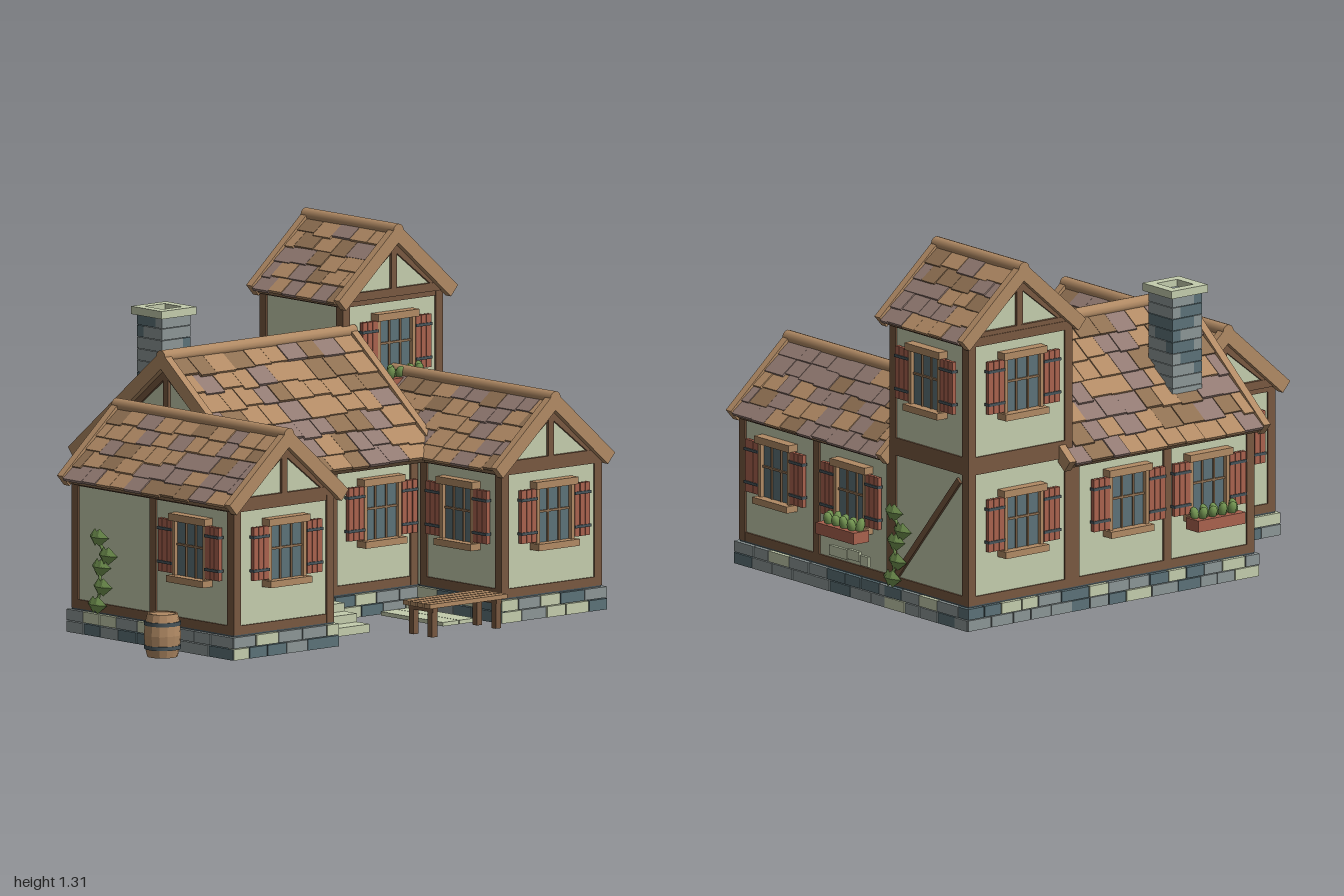
import * as THREE from 'three';
import { mergeGeometries } from 'three/addons/utils/BufferGeometryUtils.js';

const paint = (name, color) => Object.assign(new THREE.MeshStandardMaterial({ color }), { name });
const M = {
  plaster: paint('plaster', 0xc4cdad), timber: paint('dark timber', 0x785840),
  trim: paint('light timber', 0xb18a64), mauve: paint('mauve tile', 0x927a72),
  brown: paint('brown tile', 0x8f7052), red: paint('shutter red', 0xa9624e),
  slate: paint('slate', 0x5c7278), stone: paint('grey stone', 0x8c9696),
  leaf: paint('leaf green', 0x749652), dark: paint('dark metal', 0x47545a),
};
const HALF = Math.PI / 2;
let seed = 7;
const rnd = () => (seed = (seed * 16807) % 2147483647) / 2147483647;
const pick = (list) => list[Math.floor(rnd() * list.length)];

function group(parent, name, x = 0, y = 0, z = 0, ry = 0) {
  const g = new THREE.Group();
  g.name = name;
  g.position.set(x, y, z);
  g.rotation.y = ry;
  if (parent) parent.add(g);
  return g;
}
function add(parent, name, geo, mat, x = 0, y = 0, z = 0) {
  const m = new THREE.Mesh(geo, mat);
  m.name = name;
  m.position.set(x, y, z);
  parent.add(m);
  return m;
}
const box = (parent, name, mat, w, h, d, x, y, z) =>
  add(parent, name, new THREE.BoxGeometry(w, h, d), mat, x, y, z);

// Joins the many small pieces of a group into one mesh per colour
function bake(g) {
  const lists = new Map();
  for (const m of [...g.children]) {
    m.updateMatrix();
    if (!lists.has(m.material)) lists.set(m.material, []);
    lists.get(m.material).push(m.geometry.applyMatrix4(m.matrix));
    g.remove(m);
  }
  for (const [mat, geos] of lists) add(g, `${g.name} ${mat.name}`, mergeGeometries(geos), mat);
}

// Beam between two points on a wall plane
function beam(parent, name, mat, x0, y0, x1, y1, z, t) {
  const b = box(parent, name, mat, Math.hypot(x1 - x0, y1 - y0), t, 0.02, (x0 + x1) / 2, (y0 + y1) / 2, z);
  b.rotation.z = Math.atan2(y1 - y0, x1 - x0);
}

function addFlowerBox(parent, x, y) {
  const g = group(parent, 'flowerBox', x, y, 0.055);
  box(g, 'planter', M.red, 0.215, 0.042, 0.07, 0, 0, 0);
  const plants = group(g, 'plants', 0, 0.02, 0);
  for (let i = 0; i < 9; i++) {
    const p = add(plants, 'plant', new THREE.SphereGeometry(0.017, 7, 5), M.leaf, -0.088 + i * 0.022, 0.016, (i % 2 - 0.5) * 0.022);
    p.scale.y = 1.5 + (i % 3) * 0.15;
    p.rotation.x = (i % 2 - 0.5) * 0.6;
  }
  bake(plants);
}

function addWindow(parent, x, y, flowers) {
  const g = group(parent, 'window', x, y, 0);
  box(g, 'pane', M.slate, 0.16, 0.2, 0.008, 0, 0, 0.004);
  for (const s of [-1, 1]) {
    box(g, 'jamb', M.trim, 0.014, 0.2, 0.03, s * 0.081, 0, 0.008);
    box(g, 'mullion', M.brown, 0.007, 0.2, 0.012, s * 0.026, 0, 0.008);
    const sh = group(g, 'shutter', s * 0.126, 0.005, 0.016);
    for (const k of [-1, 0, 1]) box(sh, 'board', M.red, 0.022, 0.19, 0.016, k * 0.0245, 0, 0);
    for (const k of [-1, 1]) box(sh, 'strap', M.dark, 0.076, 0.01, 0.024, 0, k * 0.06, 0);
    bake(sh);
  }
  box(g, 'crossBar', M.brown, 0.16, 0.008, 0.012, 0, 0.015, 0.008);
  box(g, 'lintel', M.trim, 0.195, 0.026, 0.04, 0, 0.112, 0.014);
  box(g, 'sill', M.trim, 0.195, 0.024, 0.05, 0, -0.108, 0.018);
  if (flowers) addFlowerBox(g, 0, -0.122);
}

// Timber framing of one wall face, with windows and stone footing
function addWall(parent, name, x, z, ry, w, y0, y1, posts = [], windows = []) {
  const g = group(parent, name, x, 0, z, ry);
  const frame = group(g, 'frame');
  for (const u of [-w / 2 + 0.016, ...posts, w / 2 - 0.016])
    box(frame, 'post', M.timber, 0.034, y1 - y0, 0.03, u, (y0 + y1) / 2, -0.013);
  for (const y of [y0 + 0.016, y1 - 0.016]) box(frame, 'rail', M.timber, w, 0.032, 0.028, 0, y, -0.013);
  bake(frame);
  for (const [u, v, flowers] of windows) addWindow(g, u, v, flowers);
  if (y0 > 0.1) return g;
  const footing = group(g, 'footing');
  for (let row = 0; row < 2; row++) {
    for (let u = -w / 2 - 0.014; u < w / 2 - 0.01;) {
      let len = 0.075 + rnd() * 0.045;
      if (u + len > w / 2 - 0.03) len = w / 2 + 0.014 - u;
      box(footing, 'stone', pick([M.stone, M.slate, M.stone, M.plaster, M.stone, M.slate, M.plaster]), len - 0.004, 0.039,
        0.028 + rnd() * 0.006, u + len / 2, 0.023 + row * 0.042, 0);
      u += len;
    }
  }
  bake(footing);
  return g;
}

// Tiled gable roof, ridge along its own z
function addRoof(parent, name, x, z, ry, hw, eave, ridge, L, rows, struts) {
  const g = group(parent, name, x, 0, z, ry);
  const rise = ridge - eave, S = Math.hypot(hw, rise), a = Math.atan2(rise, hw);
  const base = hw * (rise - 0.03) / rise, inner = L - 0.07;
  const tri = new THREE.Shape([[-base, eave], [base, eave], [0, ridge - 0.03]].map((p) => new THREE.Vector2(...p)));
  add(g, 'gable', new THREE.ExtrudeGeometry(tri, { depth: inner, bevelEnabled: false }), M.plaster, 0, 0, -inner / 2);
  for (const e of [-1, 1]) {
    const ez = e * inner / 2;
    box(g, 'tieBeam', M.timber, base * 2, 0.03, 0.025, 0, eave + 0.012, ez);
    box(g, 'kingPost', M.timber, 0.026, rise - 0.05, 0.024, 0, eave + (rise - 0.05) / 2, ez);
    for (const s of [-1, 1]) {
      beam(g, 'rafter', M.timber, s * base * 0.95, eave + 0.01, 0, ridge - 0.05, ez, 0.03);
      if (struts) beam(g, 'strut', M.timber, 0, eave + 0.03, s * base * 0.48, eave + rise * 0.44, ez, 0.02);
    }
  }
  for (const s of [-1, 1]) {
    const side = group(g, 'roofSlope', 0, ridge, 0);
    side.rotation.z = -s * a;
    box(side, 'deck', M.brown, S, 0.018, L - 0.02, s * S / 2, -0.014, 0);
    for (const e of [-1, 1]) box(side, 'bargeBoard', M.trim, S + 0.012, 0.05, 0.03, s * S / 2, -0.004, e * (L / 2 - 0.015));
    const tiles = group(side, 'tiles');
    const step = S / rows, end = L / 2 - 0.03;
    for (let r = 0; r < rows; r++) {
      for (let v = -end, first = true; v < end - 0.005; first = false) {
        let w = first && r % 2 ? 0.045 : 0.07 + rnd() * 0.03;
        if (v + w > end - 0.03) w = end - v;
        const len = step * (1.08 + rnd() * 0.25);
        const t = box(tiles, 'tile', pick([M.mauve, M.trim, M.mauve, M.trim, M.brown]), len, 0.012, w - 0.002,
          s * Math.min(r * step + len / 2, S + 0.012 - len / 2), 0.004 + rnd() * 0.004, v + w / 2);
        t.rotation.z = s * 0.08;
        v += w;
      }
    }
    bake(tiles);
  }
  add(g, 'ridgeTile', new THREE.CylinderGeometry(0.024, 0.024, L, 12).rotateX(HALF), M.trim, 0, ridge + 0.006, 0);
}

// Climbing plant on a wall face
function addVine(parent, x, z, ry) {
  const g = group(parent, 'vine', x, 0, z, ry);
  const leaves = [[0, 0.36], [0.048, 0.3], [0.012, 0.255], [0.02, 0.185], [-0.01, 0.118]];
  const path = new THREE.CatmullRomCurve3(leaves.map(([u, y]) => new THREE.Vector3(u * 0.6, y, 0.01)));
  add(g, 'stem', new THREE.TubeGeometry(path, 20, 0.006, 5), M.leaf);
  const foliage = group(g, 'foliage');
  for (const [u, y] of leaves) {
    for (const s of [-1, 1]) {
      const leaf = add(foliage, 'leaf', new THREE.OctahedronGeometry(1), M.leaf, u + s * 0.012, y, 0.014);
      leaf.scale.set(0.04, 0.032, 0.012);
      leaf.rotation.y = s * 0.25;
    }
  }
  bake(foliage);
}

export function createModel() {
  const house = group(null, 'cottage');

  // Plaster bodies on dark footings: x, z, width, depth, top
  for (const [name, x, z, w, d, top] of [['leftWing', -0.578, 0.215, 0.46, 0.85, 0.56], ['hall', 0.06, -0.22, 0.86, 0.83, 0.56],
    ['rightWing', 0.685, 0.215, 0.46, 0.85, 0.56], ['tower', 0.685, -0.42, 0.46, 0.43, 1.06]]) {
    box(house, name + 'Body', M.plaster, w, top - 0.09, d, x, (top + 0.09) / 2, z);
    box(house, name + 'Base', M.dark, w + 0.01, 0.088, d + 0.01, x, 0.046, z);
  }

  // Ground floor walls
  const lo = 0.09, hi = 0.56, v = 0.37;
  addWall(house, 'leftWingFront', -0.578, 0.645, 0, 0.47, lo, hi, [], [[0, v]]);
  addWall(house, 'leftWingOuter', -0.813, 0.215, -HALF, 0.86, lo, hi, [0], [[0.215, v]]);
  addWall(house, 'leftWingInner', -0.343, 0.43, HALF, 0.43, lo, hi, [], [[0, v]]);
  addWall(house, 'leftWingBack', -0.578, -0.215, Math.PI, 0.47, lo, hi, [], [[0.01, v]]);
  const front = addWall(house, 'hallFront', 0.053, 0.2, 0, 0.79, lo, hi, [0], [[0.212, v]]);
  addWall(house, 'hallBack', 0.0375, -0.64, Math.PI, 0.825, lo, hi, [0.02], [[-0.17, v], [0.195, v, true]]);
  addWall(house, 'hallLeft', -0.375, -0.43, -HALF, 0.42, lo, hi, [], [[0, v]]);
  addWall(house, 'rightWingFront', 0.685, 0.645, 0, 0.47, lo, hi, [], [[0, v]]);
  const outer = addWall(house, 'rightWingOuter', 0.92, 0.215, HALF, 0.86, lo, hi, [0], [[-0.21, v], [0.215, v, true]]);
  addWall(house, 'rightWingInner', 0.45, 0.43, -HALF, 0.43, lo, hi, [], [[0, v]]);
  for (const [u, y, w] of [[0.13, 0.15, 0.1], [0.215, 0.155, 0.065], [0.275, 0.145, 0.045]])
    box(outer, 'exposedBrick', M.plaster, w, 0.036, 0.012, u, y, 0);

  // Tower walls
  const low = addWall(house, 'towerLowerRight', 0.92, -0.42, HALF, 0.44, lo, 0.595);
  beam(low, 'brace', M.timber, -0.18, 0.13, 0.17, 0.54, -0.005, 0.024);
  addWall(house, 'towerLowerBack', 0.685, -0.64, Math.PI, 0.47, lo, 0.595, [], [[0, v]]);
  addWall(house, 'towerFront', 0.685, -0.2, 0, 0.47, 0.595, 1.06, [], [[0, 0.87, true]]);
  addWall(house, 'towerRight', 0.92, -0.42, HALF, 0.44, 0.595, 1.06, [], [[0, 0.87]]);
  addWall(house, 'towerBack', 0.685, -0.64, Math.PI, 0.47, 0.595, 1.06, [], [[0, 0.87]]);
  addWall(house, 'towerLeft', 0.45, -0.42, -HALF, 0.44, 0.595, 1.06);

  // Roofs
  addRoof(house, 'leftWingRoof', -0.575, 0.212, 0, 0.262, 0.55, 0.78, 0.92, 5, false);
  addRoof(house, 'rightWingRoof', 0.683, 0.235, 0, 0.262, 0.55, 0.78, 0.87, 5, false);
  addRoof(house, 'towerRoof', 0.683, -0.413, 0, 0.262, 1.05, 1.28, 0.495, 5, false);
  addRoof(house, 'hallRoof', 0.055, -0.21, HALF, 0.475, 0.55, 0.935, 0.91, 7, true);

  // Door and steps
  const door = group(front, 'door', -0.22, 0, 0);
  for (let i = -2; i <= 2; i++) box(door, 'plank', M.timber, 0.036, 0.41, 0.02, i * 0.038, 0.31, 0.006);
  for (const s of [-1, 1]) box(door, 'doorJamb', M.trim, 0.018, 0.42, 0.035, s * 0.104, 0.31, 0.008);
  box(door, 'doorLintel', M.trim, 0.235, 0.026, 0.045, 0, 0.53, 0.01);
  for (const y of [0.2, 0.42]) box(door, 'doorStrap', M.dark, 0.17, 0.014, 0.008, -0.01, y, 0.018);
  add(door, 'doorKnob', new THREE.SphereGeometry(0.009, 8, 6), M.dark, 0.072, 0.31, 0.022);
  for (let i = 0; i < 3; i++) {
    const depth = 0.28 - i * 0.067;
    box(house, 'step', M.plaster, 0.265, 0.03, depth, -0.158, 0.015 + i * 0.03, 0.2 + depth / 2);
  }
  for (const x of [0.295, 0.372]) box(house, 'pavingSlab', M.plaster, 0.074, 0.014, 0.33, x, 0.007, 0.385);

  // Chimney
  const chimney = group(house, 'chimney', -0.155, 0, -0.47);
  for (let i = 0; i < 9; i++) {
    const y = 0.685 + i * 0.042;
    for (let k = 0; k < 4; k++) {
      const b = box(chimney, 'brick', pick([M.stone, M.stone, M.slate]), 0.098, 0.04, 0.036, 0, y, 0);
      const t = k * HALF, o = i % 2 ? 0.018 : -0.018;
      b.rotation.y = t;
      b.position.set(Math.sin(t) * 0.049 + Math.cos(t) * o, y, Math.cos(t) * 0.049 - Math.sin(t) * o);
    }
  }
  box(chimney, 'flue', M.slate, 0.1, 0.37, 0.1, 0, 0.845, 0);
  for (const s of [-1, 1]) {
    box(chimney, 'cap', M.plaster, 0.165, 0.028, 0.036, 0, 1.052, s * 0.064);
    box(chimney, 'cap', M.plaster, 0.036, 0.028, 0.092, s * 0.064, 1.052, 0);
  }
  bake(chimney);

  // Bench
  const bench = group(house, 'bench', 0.223, 0, 0.653);
  for (let i = 0; i < 4; i++) box(bench, 'slat', M.trim, 0.365, 0.016, 0.031, 0, 0.113, -0.055 + i * 0.0375);
  for (const sx of [-1, 1]) {
    box(bench, 'crossPiece', M.timber, 0.024, 0.016, 0.13, sx * 0.15, 0.097, 0);
    for (const sz of [-1, 1]) box(bench, 'leg', M.timber, 0.024, 0.09, 0.024, sx * 0.15, 0.045, sz * 0.05);
  }

  // Barrel
  const barrel = group(house, 'barrel', -0.932, 0, 0.4);
  const profile = [[0, 0], [0.054, 0], [0.062, 0.035], [0.066, 0.078], [0.062, 0.12], [0.054, 0.155], [0.048, 0.155], [0.048, 0.145]];
  const staves = new THREE.LatheGeometry(profile.map((p) => new THREE.Vector2(...p)), 14).toNonIndexed();
  staves.computeVertexNormals();
  add(barrel, 'staves', staves, M.trim);
  add(barrel, 'lid', new THREE.CylinderGeometry(0.049, 0.049, 0.01, 14), M.trim, 0, 0.146, 0);
  for (const [y, r] of [[0.035, 0.062], [0.12, 0.062]])
    add(barrel, 'hoop', new THREE.CylinderGeometry(r + 0.003, r + 0.003, 0.014, 14), M.dark, 0, y, 0);

  // Vines
  addVine(house, 0.925, -0.235, HALF);
  addVine(house, -0.818, -0.06, -HALF);
  return house;
}
